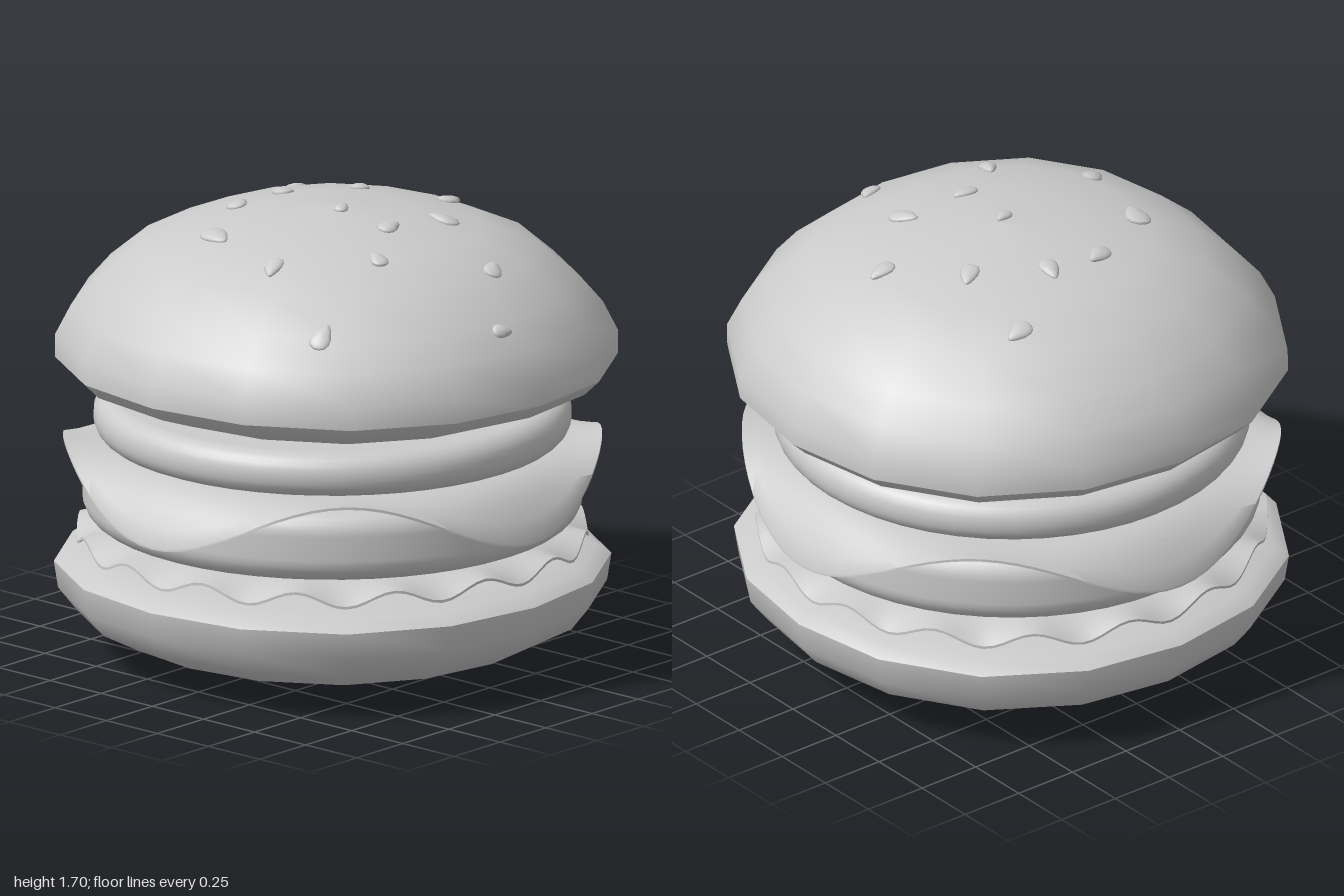
import * as THREE from 'three';
import { mergeGeometries, toCreasedNormals } from 'three/addons/utils/BufferGeometryUtils.js';

const material = new THREE.MeshStandardMaterial({ color: 0xcccccc });
const lathe = (pts, segs) => new THREE.LatheGeometry(pts.map(([x, y]) => new THREE.Vector2(x, y)), segs);

function part(name, geometry, x = -0.01, z = 0.01) {
  const mesh = new THREE.Mesh(geometry, material);
  mesh.name = name;
  mesh.position.set(x, 0, z);
  return mesh;
}

// Sixteen-sided bun from two smooth halves that meet in a crease, slightly squared on the diagonals
function bunGeometry(lower, upper) {
  const geometry = mergeGeometries([lathe(lower, 16), lathe(upper, 16)]);
  const p = geometry.attributes.position;
  for (let i = 0; i < p.count; i++) {
    const k = 1 + 0.0125 * (1 - Math.cos(4 * Math.atan2(p.getX(i), p.getZ(i))));
    p.setX(i, p.getX(i) * k);
    p.setZ(i, p.getZ(i) * k);
  }
  return geometry;
}

// Thick disc with a rounded edge
function sliceGeometry(radius, y0, y1, round) {
  const pts = [[0, y0], [radius - round - 0.03, y0]];
  const steps = 6;
  for (const [cy, start] of [[y0 + round, -Math.PI / 2], [y1 - round, 0]]) {
    for (let i = 0; i <= steps; i++) {
      const a = start + (i / steps) * Math.PI / 2;
      pts.push([radius - round + round * Math.cos(a), cy + round * Math.sin(a)]);
    }
  }
  pts.push([radius - round - 0.03, y1], [0, y1]);
  return lathe(pts, 48);
}

// Thin closed sheet whose height follows a rule of radius and angle
function sheetGeometry(radius, inner, thickness, segs, height) {
  const radii = [0, inner];
  for (let i = 1; i <= 8; i++) radii.push(inner + (radius - inner) * i / 8);
  const under = radii.map(r => [r, -thickness / 2]);
  const over = radii.map(r => [r, thickness / 2]).reverse();
  const geometry = lathe([...under, ...over], segs);
  const p = geometry.attributes.position;
  for (let i = 0; i < p.count; i++) {
    const x = p.getX(i), z = p.getZ(i);
    const t = Math.max(0, (Math.hypot(x, z) - inner) / (radius - inner));
    p.setY(i, p.getY(i) + height(t, Math.atan2(x, z)));
  }
  return toCreasedNormals(geometry, 1);
}

// Teardrop seed with its tip along +z
function seedGeometry() {
  const geometry = new THREE.SphereGeometry(1, 14, 8);
  const p = geometry.attributes.position;
  for (let i = 0; i < p.count; i++) p.setX(i, p.getX(i) * (1 - 0.45 * p.getZ(i)));
  geometry.scale(0.034, 0.016, 0.056);
  geometry.computeVertexNormals();
  return geometry;
}

export function createModel() {
  const model = new THREE.Group();
  model.name = 'burger';

  // Bottom bun
  model.add(part('bottomBun', bunGeometry(
    [[0, 0], [0.31, 0.016], [0.58, 0.043], [0.78, 0.096], [0.91, 0.165], [0.975, 0.25], [0.99, 0.35]],
    [[0.99, 0.35], [0.94, 0.385], [0.82, 0.41], [0.6, 0.42], [0, 0.42]])));

  // Lettuce with a ruffled edge
  model.add(part('lettuce', sheetGeometry(0.93, 0.72, 0.01, 160, (t, a) =>
    0.495 - t * t * (0.043 + 0.027 * Math.cos(16 * a)))));

  // Patty and upper slice
  model.add(part('patty', sliceGeometry(0.91, 0.505, 0.775, 0.09)));
  model.add(part('upperSlice', sliceGeometry(0.87, 0.815, 0.98, 0.075)));

  // Cheese that droops at four sides
  model.add(part('cheese', sheetGeometry(0.98, 0.7, 0.01, 96, (t, a) =>
    0.802 + t * t * t * (-0.097 - 0.112 * Math.cos(4 * a)))));

  // Top bun
  const top = new THREE.Group();
  top.name = 'topBun';
  const crown = part('crown', bunGeometry(
    [[0, 0.98], [0.6, 0.985], [0.79, 1.005], [0.945, 1.06], [1, 1.115]],
    [[1, 1.115], [1, 1.2], [0.945, 1.31], [0.86, 1.41], [0.72, 1.53],
      [0.53, 1.61], [0.27, 1.665], [0, 1.68]]), 0, 0);
  top.add(crown);

  // Seeds: x, z, tip direction in degrees seen from above, size
  const seeds = [
    [-0.51, -0.35, 100, 1], [-0.17, -0.31, 130, 1], [0.1, -0.5, 95, 1], [0.32, -0.22, 200, 1.1],
    [0.67, -0.1, 130, 1], [-0.33, -0.06, 165, 1], [0.04, 0.02, 110, 0.7], [0.29, 0.04, 95, 0.95],
    [0.87, 0.07, 60, 0.75], [-0.35, 0.15, 110, 1], [0.44, 0.27, 155, 0.9], [-0.18, 0.46, -20, 1.3],
    [0.18, 0.55, -65, 1], [0.53, 0.67, 110, 1.05]];
  const geometry = seedGeometry();
  const down = new THREE.Vector3(0, -1, 0);
  crown.updateMatrixWorld(true);
  for (const [x, z, degrees, size] of seeds) {
    const hit = new THREE.Raycaster(new THREE.Vector3(x, 3, z), down).intersectObject(crown)[0];
    if (!hit) continue;
    const up = hit.face.normal.clone();
    const a = THREE.MathUtils.degToRad(degrees);
    const tip = new THREE.Vector3(Math.cos(a), 0, -Math.sin(a)).projectOnPlane(up).normalize();
    const seed = new THREE.Mesh(geometry, material);
    seed.name = 'seed';
    seed.quaternion.setFromRotationMatrix(
      new THREE.Matrix4().makeBasis(new THREE.Vector3().crossVectors(up, tip), up, tip));
    seed.position.copy(hit.point).addScaledVector(up, 0.003);
    seed.scale.set(size, 1, size);
    top.add(seed);
  }

  // Slight backward tilt of the top bun
  top.rotation.x = -0.0115;
  top.position.z = 0.013;
  model.add(top);
  return model;
}
